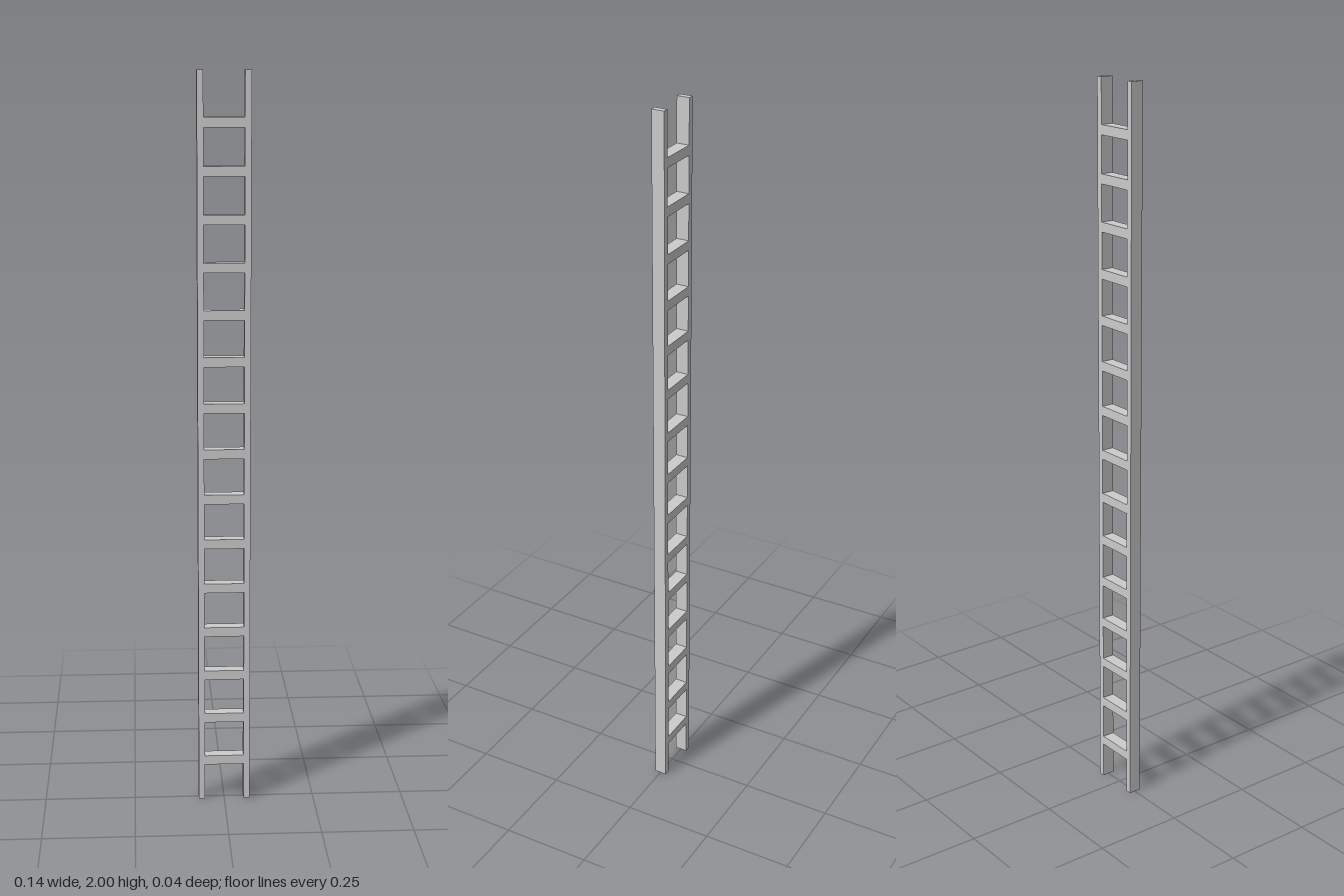
import * as THREE from 'three';

export function createModel() {
  const ladder = new THREE.Group();
  ladder.name = 'ladder';
  const material = new THREE.MeshStandardMaterial({ color: 0xcccccc, flatShading: true });

  const height = 2, depth = 0.035;
  const outer = 0.071, inner = 0.054;
  const rungCount = 15, rungHeight = 0.026, firstRung = 0.115, rungStep = 0.1252;

  const addBox = (name, w, h, x, y) => {
    const mesh = new THREE.Mesh(new THREE.BoxGeometry(w, h, depth), material);
    mesh.name = name;
    mesh.position.set(x, y, 0);
    ladder.add(mesh);
  };

  // Two upright side rails
  for (const side of [1, -1]) {
    addBox(side > 0 ? 'leftRail' : 'rightRail', outer - inner, height, side * (outer + inner) / 2, height / 2);
  }

  // Evenly spaced rungs between the rails
  for (let i = 0; i < rungCount; i++) {
    addBox(`rung${i + 1}`, inner * 2, rungHeight, 0, firstRung + i * rungStep);
  }

  return ladder;
}
